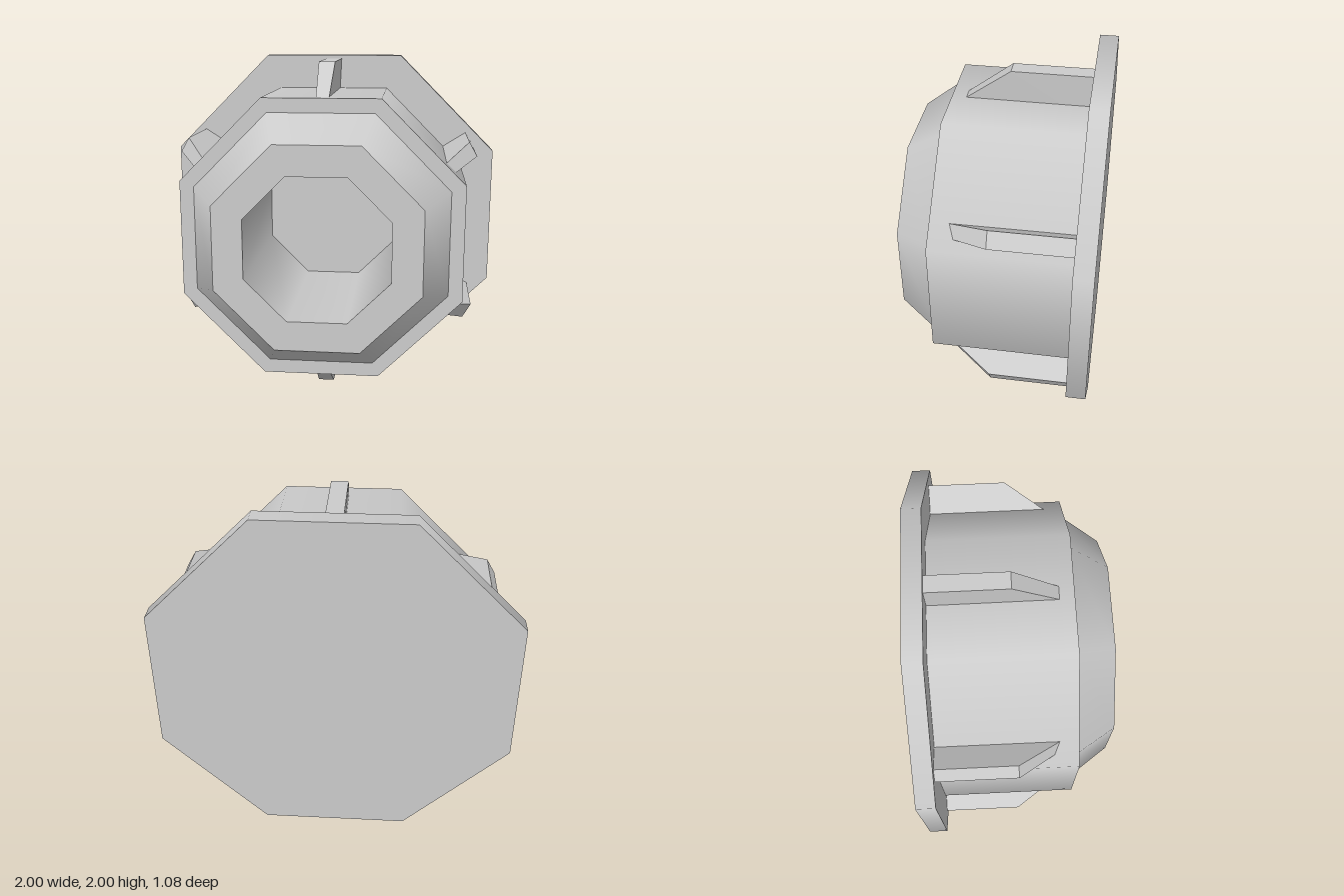
import * as THREE from 'three';

export function createModel() {
  const model = new THREE.Group();
  const grey = new THREE.MeshStandardMaterial({ color: 0xcccccc });
  const inside = new THREE.MeshStandardMaterial({ color: 0xcccccc, side: THREE.DoubleSide });
  const flat = new THREE.MeshStandardMaterial({ color: 0xcccccc, flatShading: true });
  const SIDES = 8, TURN = Math.PI / 8;
  const corner = (apothem) => apothem / Math.cos(TURN);

  const add = (name, geometry, material = grey) => {
    const mesh = new THREE.Mesh(geometry, material);
    mesh.name = name;
    model.add(mesh);
    return mesh;
  };
  // Octagonal wall along z, sized by half its width across flats
  const wall = (name, back, front, z0, z1, material) =>
    add(name, new THREE.CylinderGeometry(corner(front), corner(back), z1 - z0, SIDES, 1, true, TURN)
      .rotateX(Math.PI / 2).translate(0, 0, (z0 + z1) / 2), material);
  // Flat octagonal ring facing the front
  const ring = (name, inner, outer, z) =>
    add(name, new THREE.RingGeometry(corner(inner), corner(outer), SIDES, 1, TURN).translate(0, 0, z));
  const disc = (name, apothem, z) =>
    add(name, new THREE.CircleGeometry(corner(apothem), SIDES, TURN).translate(0, 0, z));

  const zBack = -0.54, zPlate = -0.435, zStep = 0.325, zFront = 0.54;

  // Back plate
  wall('plateRim', 1, 1, zBack, zPlate);
  ring('plateFront', 0.8, 1, zPlate);
  disc('plateBack', 1, -zBack).rotation.y = Math.PI;

  // Body with a chamfered nose
  wall('body', 0.8, 0.8, zPlate, zStep);
  ring('bodyStep', 0.72, 0.8, zStep);
  wall('noseChamfer', 0.72, 0.575, zStep, zFront);
  ring('noseFace', 0.405, 0.575, zFront);

  // Blind bore
  wall('bore', 0.405, 0.405, zPlate, zFront, inside);
  disc('boreFloor', 0.405, zPlate);

  // Ribs: side profile (z, radius), widening slightly outwards
  const profile = new THREE.Shape([
    [zPlate, 0.7], [0.381, 0.7], [0, 0.98], [zPlate, 0.98],
  ].map(([z, r]) => new THREE.Vector2(z, r)));
  const rib = new THREE.ExtrudeGeometry(profile, { depth: 2, bevelEnabled: false })
    .translate(0, 0, -1).rotateY(-Math.PI / 2);
  const p = rib.attributes.position;
  for (let i = 0; i < p.count; i++) {
    p.setX(i, p.getX(i) * (0.047 - 0.047 * (0.98 - p.getY(i))) + 0.002);
  }
  // Trim the buried tip so it stays inside the body
  for (let i = 0; i < p.count; i++) if (p.getZ(i) > 0.32) p.setXYZ(i, p.getX(i), 0.745, 0.32);
  rib.computeVertexNormals();
  for (let i = 0; i < 6; i++) add('rib', rib, flat).rotation.z = i * Math.PI / 3;

  model.position.y = 1;
  return model;
}
